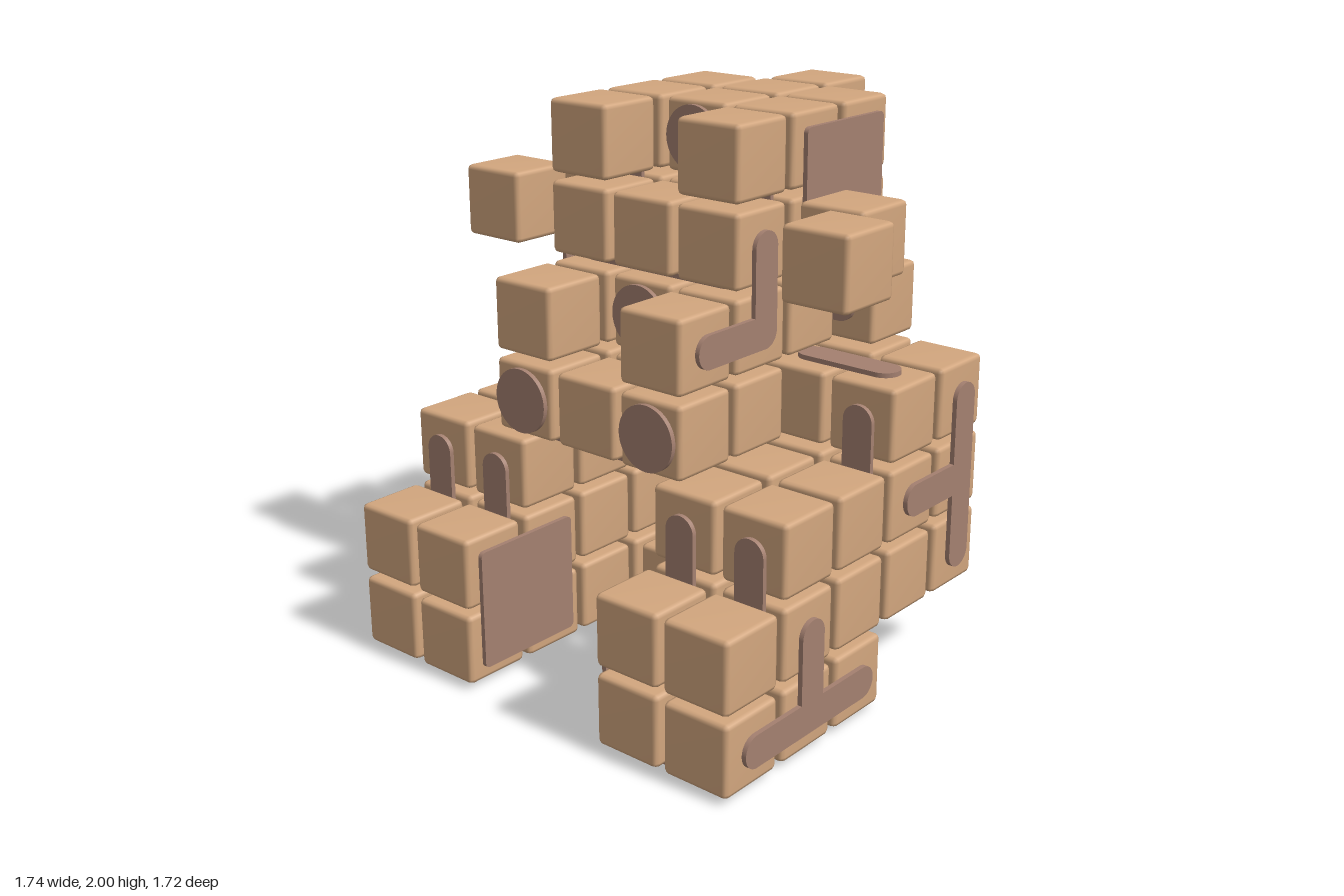
import * as THREE from 'three';
import { mergeVertices } from 'three/addons/utils/BufferGeometryUtils.js';
import { RoundedBoxGeometry } from 'three/addons/geometries/RoundedBoxGeometry.js';

const PITCH = 0.287, CUBE = 0.259, THICK = 0.017;

// Grid cell (column, depth, row) to position
const cell = ([x, k, r]) => new THREE.Vector3(x * PITCH, 0.153 + r * PITCH - 0.002, 0.154 + k * PITCH);

// Rounded outline used for bars, discs and panels
function plateGeometry(w, h, r) {
  const s = new THREE.Shape(), x = w / 2 - r, y = h / 2 - r, q = Math.PI / 2;
  s.absarc(x, y, r, 0, q);
  s.absarc(-x, y, r, q, 2 * q);
  s.absarc(-x, -y, r, 2 * q, 3 * q);
  s.absarc(x, -y, r, 3 * q, 4 * q);
  s.closePath();
  return new THREE.ExtrudeGeometry(s, { depth: THICK, bevelEnabled: false, curveSegments: 10 });
}

export function createModel() {
  const model = new THREE.Group();
  const tan = new THREE.MeshStandardMaterial({ name: 'tan', color: 0xd2a67e });
  const brown = new THREE.MeshStandardMaterial({ name: 'brown', color: 0xa48070 });

  // Soft-edged cube with normals blended across its narrow bevels
  let cube = new RoundedBoxGeometry(CUBE, CUBE, CUBE, 1, 0.018);
  cube.deleteAttribute('normal');
  cube.deleteAttribute('uv');
  cube = mergeVertices(cube, 1e-4);
  cube.computeVertexNormals();

  // Rows of cubes: [part, row, columns (mirrored), depths]
  const layout = [
    ['foot', 0, [2.5], [2, 1, 0]],
    ['foot', 0, [1.5], [2, 1, 0, -1]],
    ['base', 0, [0.5], [-1]],
    ['leg', 1, [2.5, 1.5], [2, 1, 0, -1, -2]],
    ['leg', 2, [2.5, 1.5], [1, 0, -1, -2]],
    ['body', 3, [2.5, 1.5], [-1, -2]],
    ['body', 3, [0.5], [-1]],
    ['jaw', 3, [0, 1], [1, 0]],
    ['cheek', 4, [1], [1, 0, -1]],
    ['mouth', 4, [0], [0, -1]],
    ['shoulder', 4, [1.5, 0.5], [-2]],
    ['head', 5, [0, 1], [0, -1, -2]],
    ['head', 6, [1], [0, -1, -2]],
    ['crown', 6, [0], [-1, -2]],
    ['headBack', 5, [0], [-3]],
    ['headBack', 6, [0], [-3]],
    ['sideCube', 5, [2], [-1]],
    ['sideCube', 5, [2.5], [0]],
  ];
  for (const [name, row, columns, depths] of layout)
    for (const c of columns)
      for (const k of depths)
        for (const s of c ? [1, -1] : [1]) {
          const mesh = new THREE.Mesh(cube, tan);
          mesh.name = name + 'Cube';
          mesh.position.copy(cell([s * c, k, row]));
          model.add(mesh);
        }

  // Places a plate on the outer face of the cells from a to b
  function place(name, geometry, a, b, normal) {
    const pa = cell(a), pb = cell(b), z = new THREE.Vector3(...normal);
    const x = pb.clone().sub(pa);
    if (x.lengthSq() < 1e-6) x.set(Math.abs(z.x) ? 0 : 1, Math.abs(z.x) ? 1 : 0, 0);
    x.normalize();
    const mesh = new THREE.Mesh(geometry, brown);
    mesh.name = name;
    mesh.quaternion.setFromRotationMatrix(
      new THREE.Matrix4().makeBasis(x, z.clone().cross(x), z));
    mesh.position.copy(pa).add(pb).multiplyScalar(0.5).addScaledVector(z, CUBE / 2 + 0.004);
    model.add(mesh);
  }
  function bars(name, normal, ...points) {
    for (let i = 0; i + 1 < points.length; i++) {
      const length = cell(points[i]).distanceTo(cell(points[i + 1]));
      place(name, plateGeometry(length + 0.116, 0.116, 0.0579), points[i], points[i + 1], normal);
    }
  }
  const disc = plateGeometry(0.23, 0.23, 0.1149);
  const panel = plateGeometry(0.44, 0.44, 0.02);
  const F = [0, 0, 1], B = [0, 0, -1], U = [0, 1, 0], D = [0, -1, 0];

  for (const s of [1, -1]) {
    const out = [s, 0, 0], inward = [-s, 0, 0];
    const p = (x, k, r) => [s * x, k, r];
    // Outer side bars
    bars('footSideBar', out, p(2.5, 2, 0), p(2.5, 0, 0));
    bars('footSideBar', out, p(2.5, 1, 0), p(2.5, 1, 1));
    bars('legSideBar', out, p(2.5, -2, 1), p(2.5, -2, 3));
    bars('legSideBar', out, p(2.5, -2, 2), p(2.5, -1, 2));
    bars('cheekBar', out, p(1, 1, 4), p(1, 0, 4), p(1, 0, 5));
    // Inner foot panel
    place('footPanel', panel, p(1.5, 1.5, 0.5), p(1.5, 1.5, 0.5), inward);
    // Front bars and discs
    bars('shoulderFrontBar', F, p(2.5, -1, 2), p(2.5, -1, 3));
    bars('legFrontBar', F, p(2.5, 1, 1), p(2.5, 1, 2));
    bars('innerLegBar', F, p(1.5, 1, 0), p(1.5, 1, 2));
    place('jawDisc', disc, p(1, 1, 3), p(1, 1, 3), F);
    bars('shoulderBar', F, p(1.5, -2, 4), p(0.5, -2, 4));
    // Back bars
    bars('bodyBackBar', B, p(1.5, -2, 1), p(1.5, -2, 3));
    bars('headBackBar', B, p(1, -2, 5), p(1, -2, 6));
    bars('baseBackBar', B, p(1.5, -1, 1), p(1.5, -1, 0), p(0.5, -1, 0));
    bars('footJoint', B, p(2.5, 2, 1), p(1.5, 2, 1));
    bars('legJoint', B, p(2.5, 1, 2), p(1.5, 1, 2));
    bars('headJoint', B, p(1, 0, 5), p(1, 0, 6));
    // Top and bottom bars
    bars('bodyTopBar', U, p(2.5, -1, 3), p(1.5, -1, 3));
    bars('soleBar', D, p(2.5, 1, 0), p(2.5, 2, 0), p(1.5, 2, 0));
    bars('baseBottomBar', D, p(1.5, 0, 0), p(1.5, -1, 0), p(0.5, -1, 0));
    bars('jawBottomBar', D, p(1, 1, 3), p(1, 0, 3));
    bars('headBottomBar', D, p(1, 0, 5), p(0, 0, 5));
  }
  // Centre plates
  bars('jawBottomBar', D, [-1, 1, 3], [1, 1, 3]);
  bars('baseTopBar', U, [-0.5, -1, 0], [0.5, -1, 0]);
  bars('headBackBar', B, [0, -3, 5], [0, -3, 6]);
  place('mouthDisc', disc, [0, 0, 4], [0, 0, 4], F);
  place('crownDisc', disc, [0, -1, 6], [0, -1, 6], F);
  // Panel on the left of the head only
  place('headPanel', panel, [1, -1.5, 5.5], [1, -1.5, 5.5], [1, 0, 0]);
  return model;
}
